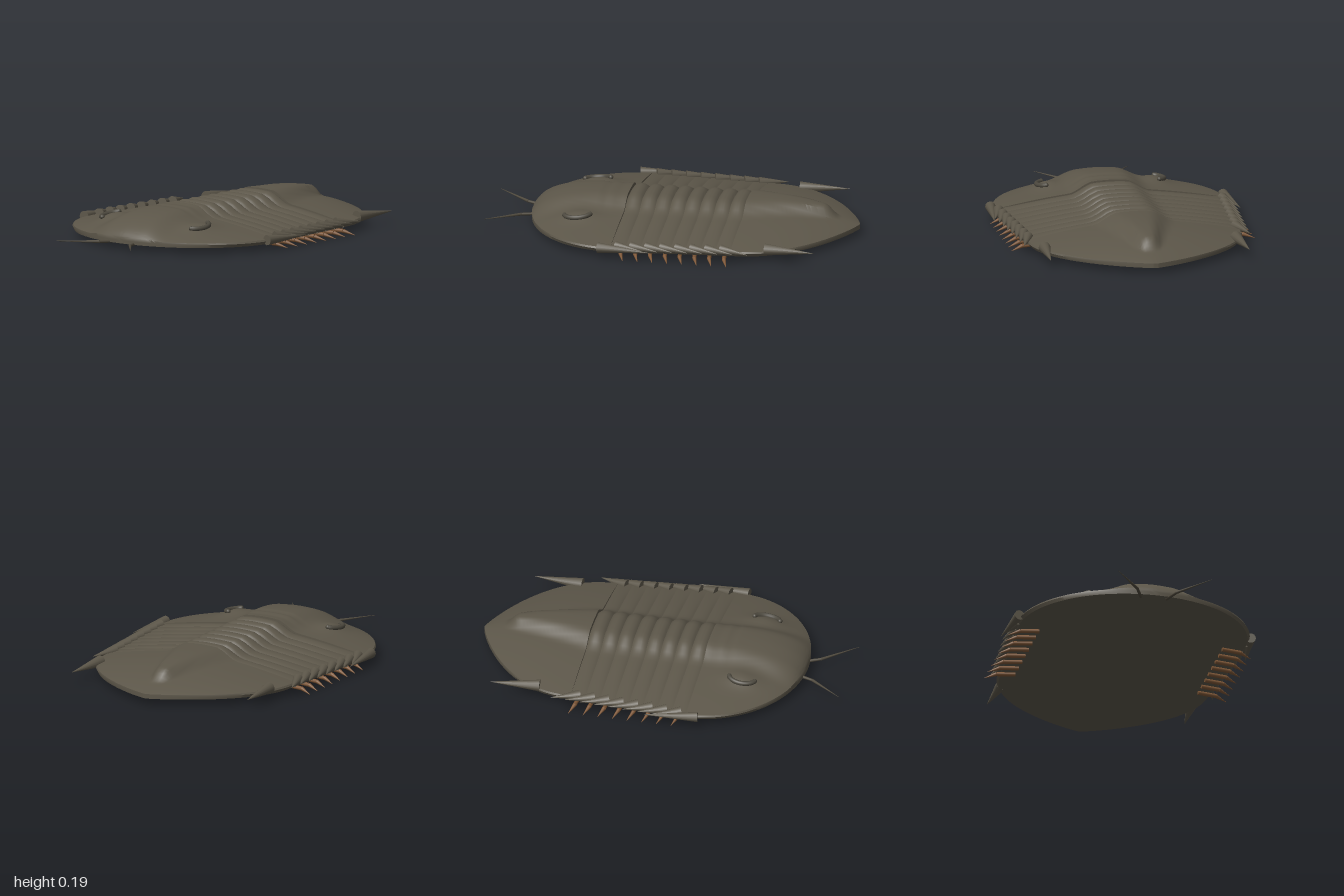
import * as THREE from 'three';
import { toCreasedNormals } from 'three/addons/utils/BufferGeometryUtils.js';

const FRONT = 0.24, REAR = -0.4, SEGMENTS = 8, PITCH = (FRONT - REAR) / SEGMENTS;
const BOTTOM = 0.035, RIM = 0.06;

const shellMat = new THREE.MeshStandardMaterial({ name: 'shell', color: 0x5c5649 });
const eyeMat = new THREE.MeshStandardMaterial({ name: 'eye', color: 0x4c483e });
const legMat = new THREE.MeshStandardMaterial({ name: 'leg', color: 0x7d5636 });
const antennaMat = new THREE.MeshStandardMaterial({ name: 'antenna', color: 0x4e483c });

const clamp01 = (v) => Math.min(1, Math.max(0, v));
const frontT = (z) => clamp01((z - FRONT) / 0.525);
const rearT = (z) => clamp01((REAR - z) / 0.6);

// Half width of the shell outline at z
function halfWidth(z) {
  if (z > FRONT) return 0.63 * Math.sqrt(1 - frontT(z) ** 2);
  if (z < REAR) return 0.58 * (1 - rearT(z) ** 2.2) ** 0.85;
  return THREE.MathUtils.mapLinear(z, FRONT, REAR, 0.63, 0.58);
}

// Height of the upper surface: side lobes, raised axis, cheek bumps and furrows
function height(x, z, ribbed) {
  const w = halfWidth(z), ax = Math.abs(x), u = w > 1e-6 ? clamp01(ax / w) : 1;
  const f = frontT(z), r = rearT(z);
  const dome = (1 - f ** 3) ** 0.6 * (1 - r ** 2.5);
  const axisHalf = (0.22 + 0.05 * f) * (1 - 0.8 * clamp01(r / 0.8));
  const axis = (1 - THREE.MathUtils.smoothstep(ax, axisHalf * 0.4, axisHalf))
    * (1 - THREE.MathUtils.smoothstep(r, 0.68, 0.82));
  let y = RIM + dome * 0.08 * (1 - u ** 1.6) + 0.05 * axis * (1 - f ** 3) ** 0.6;
  y += 0.025 * Math.exp(-(((ax - 0.29) / 0.07) ** 2) - ((z - 0.47) / 0.1) ** 2);
  for (const furrow of [0.29, 0.36]) y -= 0.007 * axis * Math.exp(-(((z - furrow) / 0.014) ** 2));
  if (ribbed) {
    const p = (FRONT - z) / PITCH;
    const groove = 1 - Math.abs(Math.sin(p * Math.PI)) ** 0.7;
    y -= groove * (0.01 + 0.01 * axis) * (1 - u ** 4);
  }
  return y;
}

// Closed slab of shell lofted through rows of increasing z
function shellGeometry(rows, ribbed) {
  const cols = 56, pos = [], index = [];
  const all = [{ z: rows[0], cap: true }, ...rows.map((z) => ({ z })), { z: rows.at(-1), cap: true }];
  for (const { z, cap } of all) {
    const w = halfWidth(z);
    for (let i = 0; i <= cols; i++) {
      const x = -w * Math.cos((Math.PI * i) / cols) * 0.99;
      pos.push(x, cap ? BOTTOM : height(x, z, ribbed), z);
    }
    pos.push(w, cap ? BOTTOM : 0.052, z);
    for (let i = 0; i <= 8; i++) pos.push(w * 0.98 * (1 - i / 4), BOTTOM, z);
    pos.push(-w, cap ? BOTTOM : 0.052, z);
  }
  const n = cols + 12;
  for (let j = 0; j < all.length - 1; j++) {
    for (let k = 0; k < n; k++) {
      const a = j * n + k, b = j * n + ((k + 1) % n), c = a + n, d = b + n;
      index.push(a, c, b, b, c, d);
    }
  }
  const g = new THREE.BufferGeometry();
  g.setAttribute('position', new THREE.Float32BufferAttribute(pos, 3));
  g.setIndex(index);
  return toCreasedNormals(g, 0.7);
}

// Tapered rod from a to b
function rod(name, a, b, r0, r1, mat) {
  const from = new THREE.Vector3(...a), to = new THREE.Vector3(...b);
  const dir = to.clone().sub(from);
  const mesh = new THREE.Mesh(new THREE.CylinderGeometry(r1, r0, dir.length(), 12), mat);
  mesh.name = name;
  mesh.position.copy(from).add(to).multiplyScalar(0.5);
  mesh.quaternion.setFromUnitVectors(new THREE.Vector3(0, 1, 0), dir.normalize());
  return mesh;
}

// Raised crescent eye lying on the cheek
function eye(s) {
  const pts = [];
  for (let i = 0; i <= 10; i++) {
    const a = ((i / 10) * 2 - 1) * 1.25;
    const x = 0.29 + 0.055 * Math.cos(a), z = 0.475 + 0.073 * Math.sin(a);
    pts.push(new THREE.Vector3(s * x, height(x, z, false) + 0.006, z));
  }
  const group = new THREE.Group();
  group.add(new THREE.Mesh(new THREE.TubeGeometry(new THREE.CatmullRomCurve3(pts), 24, 0.013, 10), eyeMat));
  for (const end of [pts[0], pts[10]]) {
    const tip = new THREE.Mesh(new THREE.SphereGeometry(0.013, 10, 8), eyeMat);
    tip.position.copy(end);
    group.add(tip);
  }
  return group;
}

export function createModel() {
  const model = new THREE.Group();
  const addShell = (name, rows, ribbed) => {
    const mesh = new THREE.Mesh(shellGeometry(rows, ribbed), shellMat);
    mesh.name = name;
    model.add(mesh);
  };

  // Head shield and tail shield, rows bunched toward their tips
  const ease = Array.from({ length: 41 }, (_, i) => Math.sin((i / 40) * Math.PI / 2));
  addShell('headShield', ease.map((t) => FRONT + 0.525 * t), false);
  addShell('tailShield', ease.map((t) => REAR - 0.6 * t).reverse(), false);

  // Body segments
  for (let i = 0; i < SEGMENTS; i++) {
    const back = FRONT - (i + 1) * PITCH;
    addShell('bodySegment', Array.from({ length: 11 }, (_, k) => back + (PITCH * k) / 10), true);
  }

  for (const s of [1, -1]) {
    const side = new THREE.Group();
    side.name = s > 0 ? 'leftSide' : 'rightSide';
    const add = (name, a, b, r0, r1, mat) =>
      side.add(rod(name, [s * a[0], a[1], a[2]], [s * b[0], b[1], b[2]], r0, r1, mat));

    // Side spines and legs, one pair per segment
    for (let i = 0; i < SEGMENTS; i++) {
      const z = FRONT - (i + 0.5) * PITCH, w = halfWidth(z);
      add('sideSpine', [w - 0.02, 0.066, z + 0.01], [w + 0.03, 0.06, z - 0.14], 0.028, 0.001, shellMat);
      add('legBase', [0.5, 0.026, z], [0.6, 0.023, z - 0.012], 0.011, 0.011, legMat);
      add('legTip', [0.6, 0.023, z - 0.012], [0.662, 0.003, z - 0.034], 0.011, 0.001, legMat);
    }

    // Cheek spines and tail spines
    add('cheekSpine', [0.632, 0.06, 0.305], [0.668, 0.058, 0.02], 0.028, 0.001, shellMat);
    add('tailSpine', [0.52, 0.066, -0.58], [0.54, 0.066, -0.845], 0.032, 0.001, shellMat);

    // Antennae
    add('antennaBase', [0.07, 0.036, 0.73], [0.108, 0.04, 0.815], 0.009, 0.007, antennaMat);
    add('antennaTip', [0.108, 0.04, 0.815], [0.255, 0.05, 0.99], 0.008, 0.001, antennaMat);

    const e = eye(s);
    e.name = 'eye';
    side.add(e);
    model.add(side);
  }
  return model;
}
